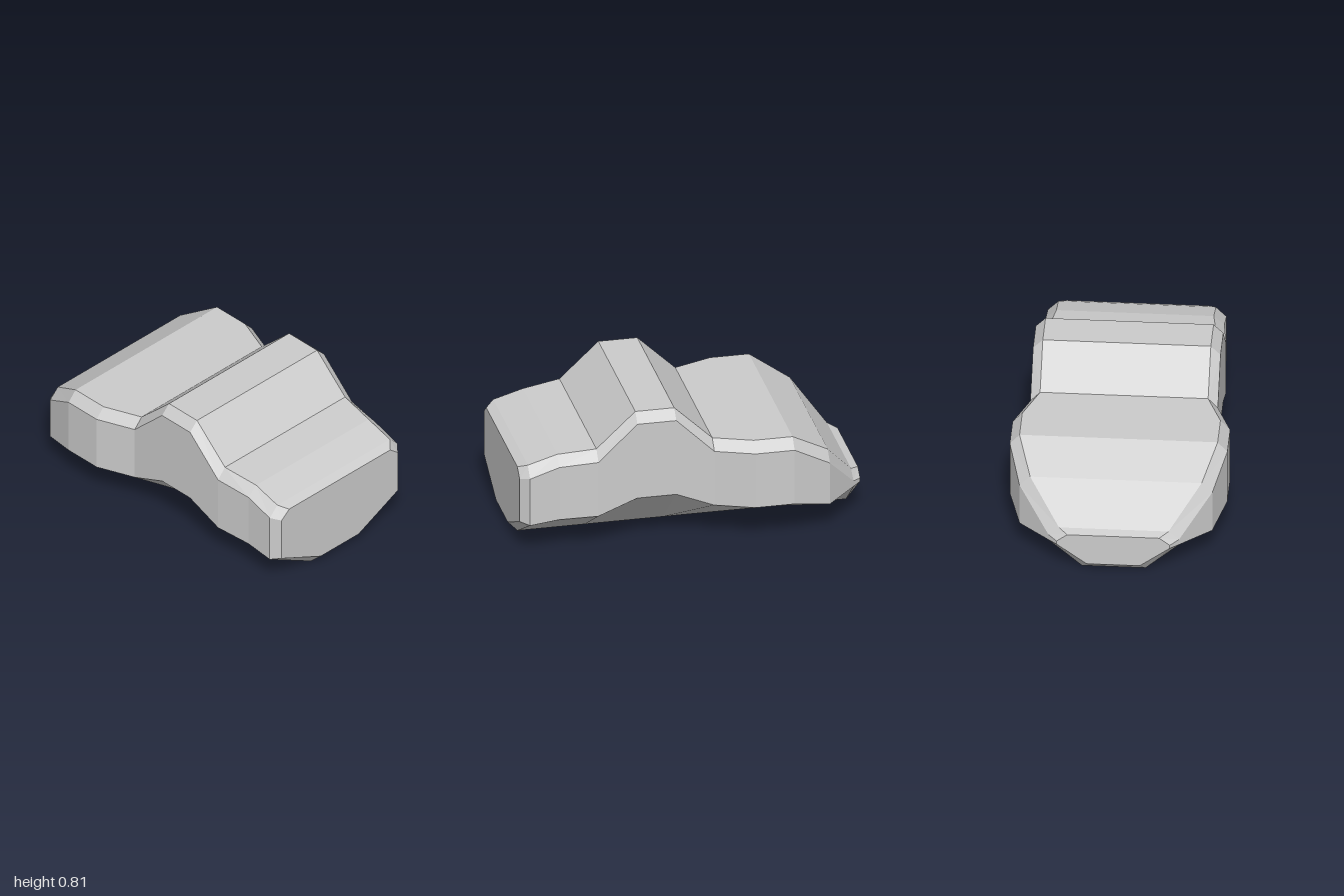
import * as THREE from 'three';

// Cross-sections from front to back:
// z, bottom y, bottom half width, lower side y, side half width, upper side y, top half width, top y
const SECTIONS = [
  [1.0, 0.045, 0.15, 0.19, 0.46, 0.455, 0.4, 0.505],
  [0.95, 0, 0.18, 0.18, 0.505, 0.47, 0.445, 0.53],
  [0.78, 0, 0.18, 0.2, 0.505, 0.525, 0.445, 0.58],
  [0.56, 0, 0.18, 0.21, 0.53, 0.545, 0.475, 0.605],
  [0.335, 0, 0.18, 0.3, 0.53, 0.76, 0.475, 0.815],
  [0.11, 0, 0.18, 0.3, 0.53, 0.76, 0.475, 0.815],
  [-0.11, 0, 0.18, 0.21, 0.53, 0.545, 0.475, 0.605],
  [-0.33, 0, 0.18, 0.21, 0.615, 0.545, 0.56, 0.605],
  [-0.555, 0, 0.18, 0.21, 0.615, 0.545, 0.56, 0.605],
  [-0.775, 0, 0.18, 0.155, 0.545, 0.41, 0.485, 0.47],
  [-0.95, 0, 0.18, 0.165, 0.37, 0.2, 0.31, 0.25],
  [-1.0, 0.045, 0.15, 0.17, 0.32, 0.19, 0.26, 0.235],
];

// Eight-sided ring, counter-clockwise seen from the front
function ring([z, y0, w0, y1, w1, y2, w2, y3]) {
  const right = [[w0, y0], [w1, y1], [w1, y2], [w2, y3]];
  const left = right.map(([x, y]) => [-x, y]).reverse();
  return [...right, ...left].map(([x, y]) => [x, y, z]);
}

// Skin between neighbouring rings, closed by a flat fan at each end
function loft(rings) {
  const n = rings[0].length;
  const positions = rings.flat(2);
  const index = [];
  for (let s = 0; s < rings.length - 1; s++) {
    for (let i = 0; i < n; i++) {
      const a = s * n + i, b = s * n + (i + 1) % n;
      // Mirror the diagonal so both sides match
      if (i < n / 2) index.push(a, a + n, b + n, a, b + n, b);
      else index.push(a, a + n, b, b, a + n, b + n);
    }
  }
  const last = (rings.length - 1) * n;
  for (let i = 1; i < n - 1; i++) {
    index.push(0, i, i + 1);
    index.push(last, last + i + 1, last + i);
  }
  const geometry = new THREE.BufferGeometry();
  geometry.setAttribute('position', new THREE.Float32BufferAttribute(positions, 3));
  geometry.setIndex(index);
  const faceted = geometry.toNonIndexed();
  faceted.computeVertexNormals();
  return faceted;
}

export function createModel() {
  const group = new THREE.Group();
  const material = new THREE.MeshStandardMaterial({ color: 0xcccccc, flatShading: true });

  // Chamfered body with raised middle, wide rear and tapered tail
  const body = new THREE.Mesh(loft(SECTIONS.map(ring)), material);
  body.name = 'body';
  group.add(body);
  return group;
}
